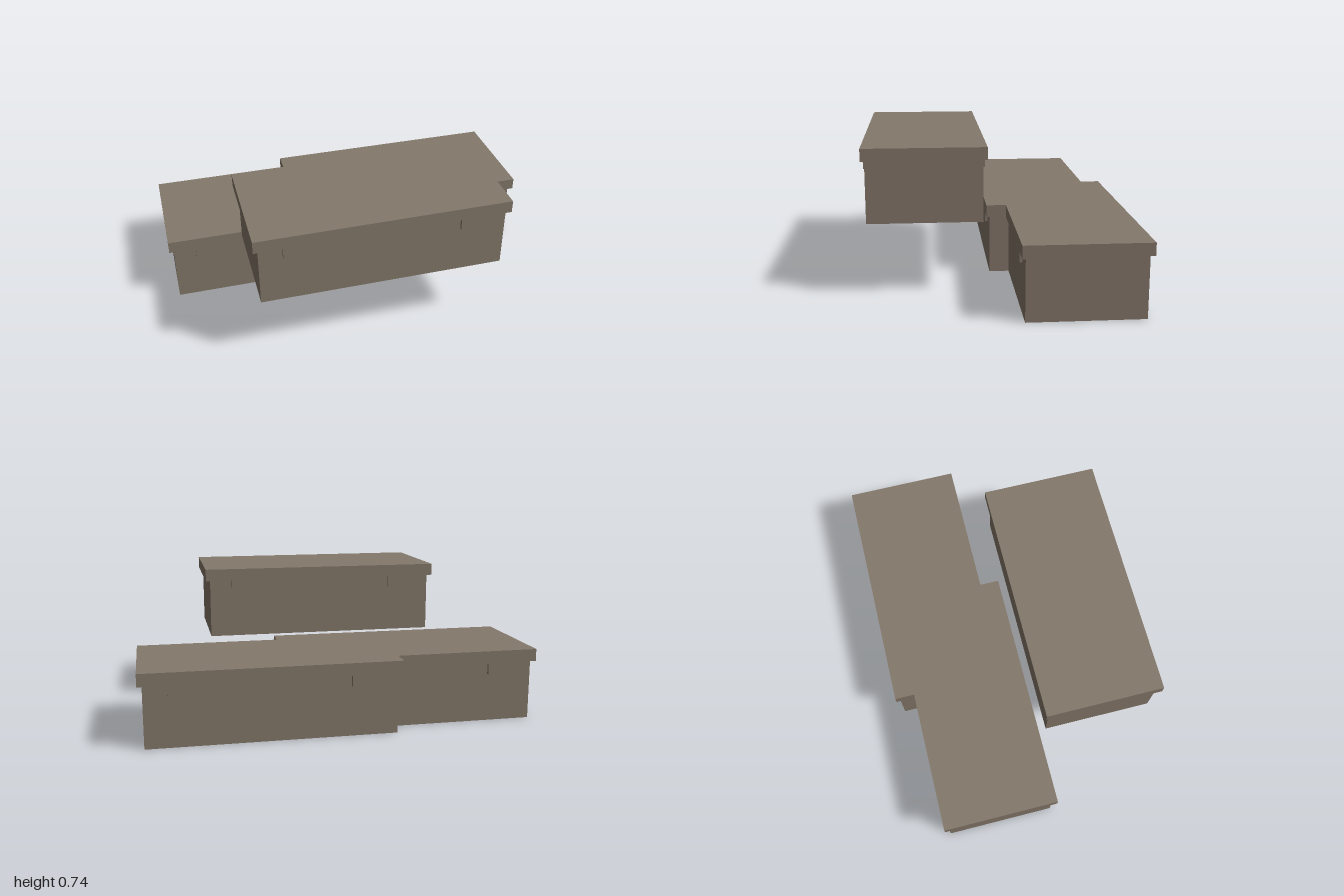
import * as THREE from 'three';

const LID = { w: 1.266, h: 0.062, d: 0.596 };
const BODY = { w: 1.22, h: 0.305, d: 0.56 };
const LATCH = { w: 0.116, h: 0.06, d: 0.026, x: 0.436 };

function box(name, w, h, d, x, y, z, material) {
  const mesh = new THREE.Mesh(new THREE.BoxGeometry(w, h, d), material);
  mesh.name = name;
  mesh.position.set(x, y, z);
  return mesh;
}

// One crate: body, overhanging lid and two latches on each long side
function makeCrate(name, material) {
  const crate = new THREE.Group();
  crate.name = name;
  crate.add(box('body', BODY.w, BODY.h, BODY.d, 0, BODY.h / 2, 0, material));
  crate.add(box('lid', LID.w, LID.h, LID.d, 0, BODY.h + LID.h / 2, 0, material));
  for (const sx of [-1, 1]) {
    for (const sz of [-1, 1]) {
      crate.add(box('latch', LATCH.w, LATCH.h, LATCH.d,
        sx * LATCH.x, BODY.h - LATCH.h / 2, sz * (0.294 - LATCH.d / 2), material));
    }
  }
  return crate;
}

export function createModel() {
  const model = new THREE.Group();
  model.name = 'crateStack';
  const material = new THREE.MeshStandardMaterial({ color: 0x85786b });
  material.name = 'dullBrown';

  // Two staggered, overlapping crates below and one raised in front
  const layout = [
    ['lowerRightCrate', -0.367, 0, -0.257],
    ['lowerLeftCrate', 0.367, 0, -0.359],
    ['upperCrate', -0.007, 0.371, 0.359],
  ];
  for (const [name, x, y, z] of layout) {
    const crate = makeCrate(name, material);
    crate.position.set(x, y, z);
    model.add(crate);
  }
  return model;
}
